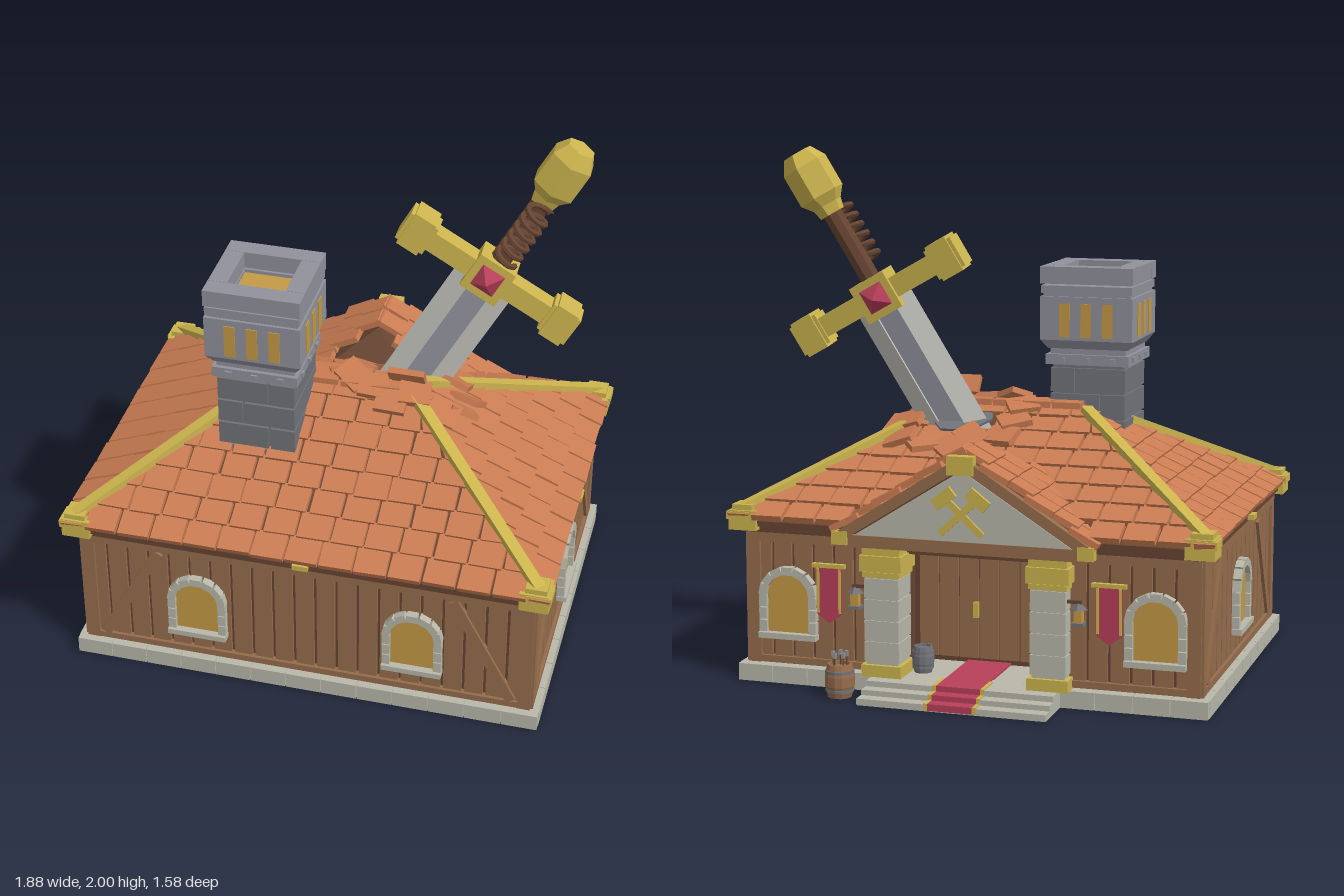
import * as THREE from 'three';
import { mergeGeometries } from 'three/addons/utils/BufferGeometryUtils.js';
import { ConvexGeometry } from 'three/addons/geometries/ConvexGeometry.js';

const V = (x, y, z) => new THREE.Vector3(x, y, z);
const material = (name, color) => {
  const m = new THREE.MeshStandardMaterial({ color, flatShading: true });
  m.name = name;
  return m;
};
let seed = 7;
const rnd = (a = -1, b = 1) => {
  seed = (seed * 16807) % 2147483647;
  return a + (b - a) * seed / 2147483647;
};

export function createModel() {
  const M = {
    stone: material('pale stone', 0xb9b8aa), wood: material('wood', 0x966d4c), dark: material('dark wood', 0x664431),
    tile: material('clay tile', 0xca7c52), gold: material('gold', 0xccb44e), amber: material('amber glass', 0xc49a45),
    grey: material('grey stone', 0x91919c), slate: material('dark stone', 0x727379),
    red: material('red', 0xb83f5a), steel: material('steel', 0xc3c2bb),
  };
  const root = new THREE.Group();
  const group = (name, parent = root) => {
    const g = new THREE.Group();
    g.name = name;
    parent.add(g);
    return g;
  };
  const add = (p, name, geo, mat, x = 0, y = 0, z = 0) => {
    const m = new THREE.Mesh(geo, mat);
    m.name = name;
    m.position.set(x, y, z);
    p.add(m);
    return m;
  };
  const box = (p, name, mat, w, h, d, x, y, z) => add(p, name, new THREE.BoxGeometry(w, h, d), mat, x, y, z);
  // Bar from a to b, in the parent's own frame; up sets the side its height faces
  const beam = (p, name, mat, a, b, w, h, up = V(0, 1, 0)) => {
    const m = box(p, name, mat, w, h, a.distanceTo(b), 0, 0, 0);
    m.position.copy(a).add(b).multiplyScalar(0.5);
    m.quaternion.setFromRotationMatrix(new THREE.Matrix4().lookAt(a, b, up));
    return m;
  };
  const outward = V(0, 0, 1);

  // House, centred on its own middle
  const house = group('house');
  house.position.z = 0.08;
  box(house, 'foundation', M.stone, 1.8, 0.06, 1.33, 0, 0.03, 0);
  for (const s of [-1, 1]) {
    for (let i = 0; i < 13; i++) box(house, 'foundationBlock', M.stone, 0.137, 0.065, 0.06, -0.84 + i * 0.14, 0.0325, s * 0.645);
    for (let i = 0; i < 9; i++) box(house, 'foundationBlock', M.stone, 0.06, 0.065, 0.142, s * 0.88, 0.0325, -0.58 + i * 0.145);
    box(house, 'backWallCore', M.dark, 0.56, 0.54, 0.24, s * 0.58, 0.33, -0.505);
  }
  box(house, 'wallCore', M.dark, 1.72, 0.54, 1.01, 0, 0.33, 0.12);
  box(house, 'porchCeiling', M.dark, 0.64, 0.06, 0.24, 0, 0.55, -0.5);
  for (let i = 0; i < 7; i++) box(house, 'entrancePlank', M.wood, 0.074, 0.42, 0.012, -0.24 + i * 0.08, 0.29, -0.39);
  box(house, 'doorHandle', M.gold, 0.02, 0.06, 0.02, 0.05, 0.27, -0.4);

  // Arched window on a wall whose outside is local +z
  const archWindow = (p, x) => {
    const w = group('window', p);
    w.position.set(x, 0, 0.015);
    const plate = (r, d) => {
      const s = new THREE.Shape();
      s.moveTo(-r, 0.18); s.lineTo(r, 0.18); s.lineTo(r, 0.33);
      s.absarc(0, 0.33, r, 0, Math.PI);
      return new THREE.ExtrudeGeometry(s, { depth: d, bevelEnabled: false, curveSegments: 12 });
    };
    add(w, 'windowBacking', plate(0.104, 0.006), M.slate);
    add(w, 'windowPane', plate(0.088, 0.009), M.amber);
    box(w, 'windowSill', M.stone, 0.23, 0.022, 0.045, 0, 0.182, 0.015);
    for (const s of [-1, 1]) for (let i = 0; i < 3; i++)
      box(w, 'jambStone', M.stone, 0.03, 0.044, 0.03, s * 0.099, 0.217 + i * 0.048, 0.012);
    for (let i = 0; i < 7; i++) {
      const a = (i + 0.5) * Math.PI / 7;
      box(w, 'archStone', M.stone, 0.03, 0.043, 0.034, Math.cos(a) * 0.099, 0.335 + Math.sin(a) * 0.096, 0.012).rotation.z = a;
    }
  };
  // Plank wall with frame, braces and windows; gap leaves the porch open
  const wall = (name, angle, dist, half, windows, gap) => {
    const g = group(name, house);
    g.rotation.y = angle;
    g.position.set(Math.sin(angle) * dist, 0, Math.cos(angle) * dist);
    const n = Math.round(half * 2 / 0.082), step = half * 2 / n;
    for (let i = 0; i < n; i++) {
      const x = -half + (i + 0.5) * step;
      if (Math.abs(x) >= gap) box(g, 'plank', M.wood, step - 0.012, 0.46, 0.018, x, 0.32, 0.004);
    }
    const rail = (y, h, d) => {
      if (!gap) return box(g, 'rail', M.wood, half * 2 + 0.03, h, d, 0, y, 0.01);
      for (const s of [-1, 1]) box(g, 'rail', M.wood, half - gap, h, d, s * (half + gap) / 2, y, 0.01);
    };
    rail(0.085, 0.026, 0.03);
    rail(0.555, 0.035, 0.03);
    for (const s of [-1, 1]) {
      box(g, 'cornerPost', M.wood, 0.05, 0.52, 0.04, s * (half - 0.01), 0.33, 0.005);
      if (!gap) beam(g, 'brace', M.wood, V(s * (half - 0.06), 0.1, 0.014), V(s * (half - 0.29), 0.53, 0.014), 0.04, 0.022, outward);
    }
    windows.forEach(x => archWindow(g, x));
  };
  wall('frontWall', 0, 0.625, 0.86, [-0.42, 0.42], 0);
  wall('leftWall', Math.PI / 2, 0.86, 0.625, [0], 0);
  wall('rightWall', -Math.PI / 2, 0.86, 0.625, [0], 0);
  wall('backWall', Math.PI, 0.625, 0.86, [-0.71, 0.71], 0.3);

  // Hipped roof core and eaves
  const hull = [V(0.23, 0.99, 0), V(-0.23, 0.99, 0)];
  for (const x of [-0.91, 0.91]) for (const z of [-0.68, 0.68]) hull.push(V(x, 0.6, z), V(x, 0.62, z));
  add(house, 'roofCore', new ConvexGeometry(hull), M.dark);
  box(house, 'eaveBoard', M.dark, 1.78, 0.03, 1.32, 0, 0.59, 0);

  // Overlapping tiles, trimmed along the hips, left out around the hole
  const tiles = [];
  const slope = Math.atan(0.38 / 0.7);
  [[0, 0.93, 0.7], [1, 0.7, 0.93], [2, 0.93, 0.7], [3, 0.7, 0.93]].forEach(([q, W, E]) => {
    for (let r = 0; r < 8; r++) {
      const u = (r + 0.5) * 0.0875, w = W - u + 0.05;
      for (let x = -w - (r % 2 ? 0.065 : 0) + 0.03; x < w + 0.06; x += 0.13) {
        if (q === 2 && r === 0 && Math.abs(x) < 0.42) continue;
        const g = new THREE.BoxGeometry(0.12 + rnd() * 0.005, 0.024, 0.108).rotateX(slope - 0.1).rotateY(rnd() * 0.025);
        g.translate(x, 0.62 + u * 0.543 + 0.014, E - u - 0.008 + rnd() * 0.004);
        const p = g.attributes.position;
        let min = 9, max = -9;
        for (let i = 0; i < p.count; i++) {
          const lim = Math.max(0, W - (E - p.getZ(i)));
          p.setX(i, THREE.MathUtils.clamp(p.getX(i), -lim, lim));
          min = Math.min(min, p.getX(i)); max = Math.max(max, p.getX(i));
        }
        g.rotateY(q * Math.PI / 2);
        g.computeBoundingBox();
        const c = g.boundingBox.getCenter(V(0, 0, 0));
        if (max - min > 0.02 && Math.hypot(c.x - 0.2, c.z + 0.1) > 0.12) tiles.push(g);
      }
    }
  });
  for (let i = 0; i < 4; i++) tiles.push(new THREE.BoxGeometry(0.11, 0.024, 0.11).rotateY(rnd() * 0.1).translate(-0.2 + i * 0.12, 1.01, 0));
  add(house, 'roofTiles', mergeGeometries(tiles), M.tile);

  // Gold hip strips, corner caps and eave studs
  for (const sx of [-1, 1]) for (const sz of [-1, 1]) {
    beam(house, 'hipStrip', M.gold, V(sx * 0.89, 0.665, sz * 0.66), V(sx * 0.28, 1.0, sz * 0.05), 0.045, 0.03);
    box(house, 'cornerCap', M.gold, 0.11, 0.075, 0.11, sx * 0.875, 0.622, sz * 0.64);
    box(house, 'cornerCapTop', M.gold, 0.08, 0.03, 0.08, sx * 0.88, 0.665, sz * 0.645);
    box(house, 'cornerCapLip', M.gold, 0.09, 0.03, 0.09, sx * 0.893, 0.64, sz * 0.653);
  }
  box(house, 'eaveStud', M.gold, 0.06, 0.02, 0.03, 0, 0.612, 0.685);
  for (const s of [-1, 1]) box(house, 'eaveStud', M.gold, 0.03, 0.02, 0.06, s * 0.92, 0.612, 0);

  // Hole with loose broken tiles around it
  const hole = group('roofHole');
  add(hole, 'holeBottom', new THREE.CylinderGeometry(0.13, 0.13, 0.01, 7), M.slate, 0.2, 0.965, -0.02).rotation.x = -0.4;
  for (let i = 0; i < 15; i++) {
    const a = i / 15 * Math.PI * 2, r = rnd(0.17, 0.25), x = 0.22 + Math.cos(a) * r * 1.1, z = -0.02 + Math.sin(a) * r * 0.9;
    const roofY = Math.min(0.62 + (0.7 - Math.abs(z - 0.08)) * 0.543, 0.62 + (0.93 - Math.abs(x)) * 0.543);
    const t = box(hole, 'brokenTile', M.tile, 0.12, 0.024, 0.1, x, roofY + 0.035, z);
    t.rotation.set(z > 0.08 ? 0.42 : -0.4 + rnd() * 0.2, rnd() * 0.8, rnd() * 0.12 - (x > 0.3 ? 0.35 : 0));
  }
  box(hole, 'brokenTile', M.tile, 0.14, 0.075, 0.024, 0.24, 1.065, 0.1).rotation.x = 0.6;

  // Porch gable: core, tiles, pediment
  const porch = group('porch');
  add(porch, 'gableCore', new ConvexGeometry([V(0.49, 0.6, -0.63), V(-0.49, 0.6, -0.63), V(0, 0.915, -0.63),
    V(0, 0.915, -0.42), V(0.49, 0.6, 0), V(-0.49, 0.6, 0)]), M.dark);
  const gableTiles = [];
  for (const s of [-1, 1]) for (let r = 0; r < 6; r++) {
    const t = (r + 0.5) / 6, end = -0.42 + 0.42 * (1 - t);
    for (let z = -0.605 + (r % 2) * 0.03; z < Math.min(end, -0.2); z += 0.1)
      gableTiles.push(new THREE.BoxGeometry(0.12, 0.024, 0.092).rotateY(rnd() * 0.05).rotateZ(-s * 0.48)
        .translate(s * (0.5 - t * 0.5), 0.618 + 0.32 * t, z + rnd() * 0.006));
  }
  add(porch, 'gableTiles', mergeGeometries(gableTiles), M.tile);
  const tri = new THREE.Shape([new THREE.Vector2(-0.42, 0.6), new THREE.Vector2(0.42, 0.6), new THREE.Vector2(0, 0.865)]);
  add(porch, 'pediment', new THREE.ExtrudeGeometry(tri, { depth: 0.02, bevelEnabled: false }), M.stone, 0, 0, -0.645);
  box(porch, 'lintel', M.wood, 0.94, 0.045, 0.1, 0, 0.58, -0.6);
  box(porch, 'ridgeOrnament', M.gold, 0.1, 0.07, 0.04, 0, 0.885, -0.645);
  for (const s of [-1, 1]) {
    beam(porch, 'rakeBeam', M.wood, V(s * 0.49, 0.585, -0.64), V(0, 0.895, -0.64), 0.03, 0.04);
    box(porch, 'gableEndCap', M.gold, 0.06, 0.05, 0.04, s * 0.47, 0.59, -0.64);
    // Crossed hammers
    beam(porch, 'hammerHandle', M.gold, V(s * 0.08, 0.63, -0.65), V(-s * 0.06, 0.76, -0.65), 0.01, 0.025);
    beam(porch, 'hammerHead', M.gold, V(-s * 0.1, 0.735, -0.653), V(-s * 0.03, 0.79, -0.653), 0.014, 0.045);
    // Columns
    const c = group('column', porch);
    c.position.set(s * 0.32, 0, -0.555);
    box(c, 'columnShaft', M.stone, 0.125, 0.38, 0.125, 0, 0.27, 0);
    for (let i = 0; i < 4; i++) box(c, 'columnBlock', M.stone, 0.135, 0.074, 0.135, 0, 0.16 + i * 0.08, 0);
    [[0.155, 0.045, 0.088], [0.145, 0.02, 0.452], [0.162, 0.06, 0.495], [0.145, 0.035, 0.543]]
      .forEach(([w, h, y]) => box(c, 'columnGold', M.gold, w, h, w, 0, y, 0));
    // Lantern
    box(porch, 'lanternArm', M.dark, 0.06, 0.012, 0.012, s * 0.41, 0.4, -0.6);
    box(porch, 'lanternGlass', M.amber, 0.03, 0.05, 0.03, s * 0.43, 0.35, -0.6);
    box(porch, 'lanternFoot', M.slate, 0.045, 0.012, 0.045, s * 0.43, 0.32, -0.6);
    add(porch, 'lanternCap', new THREE.ConeGeometry(0.035, 0.03, 4), M.slate, s * 0.43, 0.388, -0.6);
    // Banner
    const cloth = new THREE.Shape([[-0.05, 0.46], [-0.05, 0.28], [0, 0.245], [0.05, 0.28], [0.05, 0.46]].map(p => new THREE.Vector2(...p)));
    add(porch, 'banner', new THREE.ExtrudeGeometry(cloth, { depth: 0.008, bevelEnabled: false }), M.red, s * 0.54, 0, -0.588);
    box(porch, 'bannerRod', M.gold, 0.13, 0.015, 0.02, s * 0.54, 0.465, -0.586);
    for (const e of [-1, 1]) box(porch, 'bannerTrim', M.gold, 0.01, 0.17, 0.009, s * 0.54 + e * 0.043, 0.37, -0.588);
  }

  // Steps with a carpet running over them
  const steps = group('steps');
  [[0.025, -0.784], [0.045, -0.735], [0.066, -0.685]].forEach(([h, z]) => {
    const d = -0.58 - z;
    box(steps, 'step', M.stone, 0.72, h, d, 0, h / 2, z + d / 2);
    box(steps, 'carpet', M.red, 0.17, h, d + 0.004, 0, h / 2 + 0.004, z + d / 2 - 0.002);
    for (const s of [-1, 1]) box(steps, 'carpetEdge', M.gold, 0.014, h, d + 0.005, s * 0.092, h / 2 + 0.005, z + d / 2 - 0.0025);
  });
  box(steps, 'carpetInside', M.red, 0.17, 0.008, 0.28, 0, 0.066, -0.45);

  // Barrels, one holding arrows
  const barrel = (x, y, z, r, h, mat) => {
    const g = group('barrel');
    g.position.set(x, y, z);
    const pts = [[0, 0], [0.8, 0], [1, 0.35], [1, 0.65], [0.82, 1], [0.68, 1], [0.68, 0.9], [0, 0.9]];
    add(g, 'barrelBody', new THREE.LatheGeometry(pts.map(p => new THREE.Vector2(p[0] * r, p[1] * h)), 12), mat);
    for (const k of [0.22, 0.78]) add(g, 'barrelHoop', new THREE.CylinderGeometry(r * 0.98, r * 0.98, h * 0.09, 12), M.slate, 0, h * k, 0);
    return g;
  };
  const quiver = barrel(0.46, 0, -0.69, 0.056, 0.125, M.wood);
  for (let i = 0; i < 5; i++) {
    const x = Math.cos(i * 1.26) * 0.025, z = Math.sin(i * 1.26) * 0.03;
    add(quiver, 'arrowShaft', new THREE.CylinderGeometry(0.003, 0.003, 0.08, 5), M.dark, x, 0.13, z);
    box(quiver, 'arrowFletching', M.grey, 0.012, 0.02, 0.012, x, 0.16, z);
  }
  barrel(0.2, 0.065, -0.5, 0.042, 0.1, M.slate);

  // Chimney
  const ch = group('chimney');
  ch.position.set(-0.267, 0, 0.25);
  const slab = (mat, half, y0, y1) => box(ch, 'chimneyCourse', mat, half * 2, y1 - y0, half * 2, 0, (y0 + y1) / 2, 0);
  slab(M.slate, 0.141, 0.72, 1.18);
  for (let r = 0; r < 4; r++) for (const s of [-1, 1]) {
    const cut = r % 2 ? 0.05 : -0.05, w = 0.152 - s * cut;
    box(ch, 'chimneyStone', M.slate, w - 0.008, 0.092, 0.306, cut + s * w / 2, 0.8 + r * 0.1, 0);
  }
  slab(M.grey, 0.165, 1.16, 1.2);
  slab(M.grey, 0.15, 1.2, 1.225);
  add(ch, 'chimneyFlare', new THREE.CylinderGeometry(0.183 * Math.SQRT2, 0.158 * Math.SQRT2, 0.035, 4, 1, false, Math.PI / 4), M.grey, 0, 1.24, 0);
  slab(M.grey, 0.183, 1.257, 1.425);
  slab(M.grey, 0.172, 1.425, 1.44);
  for (let q = 0; q < 4; q++) {
    const side = group('chimneySide', ch);
    side.rotation.y = q * Math.PI / 2;
    for (const x of [-0.085, 0, 0.085]) box(side, 'chimneyVent', M.amber, 0.042, 0.13, 0.008, x, 1.335, 0.183);
    for (const x of [-0.1, 0, 0.1]) box(side, 'collarStud', M.grey, 0.025, 0.02, 0.02, x, 1.18, 0.163);
    box(side, 'rimLower', M.grey, 0.36, 0.03, 0.07, 0, 1.452, 0.145);
    box(side, 'rimUpper', M.grey, q % 2 ? 0.218 : 0.368, 0.066, 0.073, 0, 1.507, 0.147);
  }
  box(ch, 'chimneyGlow', M.amber, 0.23, 0.008, 0.23, 0, 1.45, 0);

  // Giant sword stuck in the roof; local y runs towards the pommel
  const sword = group('sword');
  const Y = V(0.491, 0.864, -0.107).normalize();
  const Z = V(0.87, -0.49, 0).cross(Y).normalize();
  sword.quaternion.setFromRotationMatrix(new THREE.Matrix4().makeBasis(Y.clone().cross(Z), Y, Z));
  sword.position.set(0.503, 1.43, -0.115);
  box(sword, 'bladeFuller', M.grey, 0.1, 0.68, 0.044, 0, -0.34, 0);
  for (const s of [-1, 1]) {
    const edge = new THREE.Shape([[0.045, -0.034], [0.122, 0], [0.045, 0.034]].map(p => new THREE.Vector2(s * p[0], p[1])));
    add(sword, 'bladeEdge', new THREE.ExtrudeGeometry(edge, { depth: 0.68, bevelEnabled: false }).rotateX(Math.PI / 2), M.steel);
    box(sword, 'guardArm', M.gold, 0.24, 0.08, 0.085, s * 0.17, 0, 0);
    box(sword, 'guardEnd', M.gold, 0.09, 0.145, 0.118, s * 0.317, 0, 0);
    box(sword, 'guardEndCollar', M.gold, 0.12, 0.122, 0.1, s * 0.317, 0, 0);
    add(sword, 'gem', new THREE.ConeGeometry(0.068, 0.05, 4, 1, false, Math.PI / 4).rotateX(s * Math.PI / 2), M.red, 0, 0, s * 0.085);
  }
  box(sword, 'guardPlate', M.gold, 0.155, 0.155, 0.12, 0, 0, 0);
  add(sword, 'grip', new THREE.CylinderGeometry(0.04, 0.04, 0.34, 8), M.dark, 0, 0.24, 0);
  const pommel = [[0, 0.36], [0.05, 0.36], [0.06, 0.4], [0.092, 0.44], [0.092, 0.57], [0.058, 0.625], [0, 0.625]];
  add(sword, 'pommel', new THREE.LatheGeometry(pommel.map(p => new THREE.Vector2(...p)), 6), M.gold);
  const turns = [];
  for (let i = 0; i <= 72; i++) {
    const a = i / 12 * Math.PI * 2;
    turns.push(V(Math.cos(a) * 0.043, 0.13 + i / 72 * 0.25, 0.1 + Math.sin(a) * 0.043));
  }
  add(sword, 'gripCord', new THREE.TubeGeometry(new THREE.CatmullRomCurve3(turns), 144, 0.012, 6), M.dark);
  return root;
}
